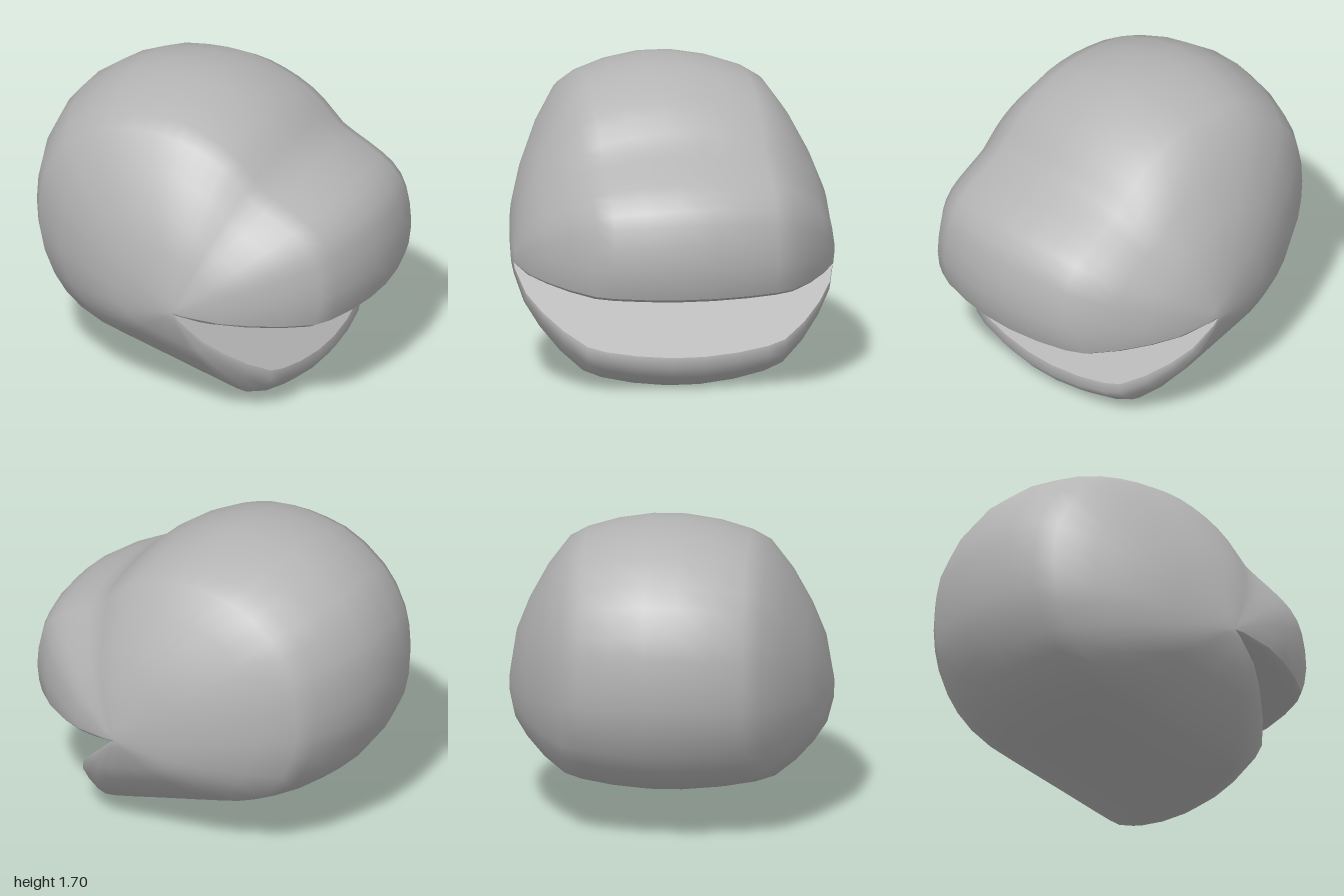
import * as THREE from 'three';

// Mouth corner: every cross-section is the middle outline shrunk towards this point
const HINGE = [0.14, 0.66];

// Half of the cross-sections: [z, scale]
const HALF = [
  [0.09, 1], [0.28, 0.97], [0.45, 0.918], [0.548, 0.862], [0.668, 0.7],
  [0.77, 0.51], [0.843, 0.325], [0.885, 0.08], [0.886, 0],
];
const SECTIONS = [...HALF.map(([z, s]) => [-z, s]).reverse(), ...HALF];

// Middle outline, counter-clockwise, in three runs that meet at the lips
const PALATE = [
  [0.15, 0.655], [0.26, 0.572], [0.4, 0.548], [0.58, 0.54], [0.8, 0.55], [0.92, 0.567], [0.96, 0.587],
];
const SKIN = [
  // muzzle
  [0.96, 0.587], [0.985, 0.66], [1, 0.77], [0.99, 0.89], [0.965, 1], [0.93, 1.08], [0.87, 1.15],
  [0.8, 1.2], [0.7, 1.255], [0.6, 1.305], [0.52, 1.35],
  // cranium
  [0.46, 1.41], [0.38, 1.49], [0.3, 1.55], [0.2, 1.605], [0.1, 1.645], [0, 1.675], [-0.1, 1.69],
  [-0.22, 1.695], [-0.35, 1.685], [-0.5, 1.66], [-0.65, 1.595], [-0.8, 1.485], [-0.89, 1.375],
  [-0.96, 1.23], [-0.99, 1.1], [-1, 0.95], [-0.99, 0.81], [-0.96, 0.68], [-0.89, 0.53],
  [-0.81, 0.425], [-0.7, 0.335], [-0.55, 0.262], [-0.4, 0.22],
  // lower jaw
  [-0.2, 0.167], [0, 0.115], [0.3, 0.035], [0.4, 0.01], [0.47, 0], [0.53, 0.018], [0.6, 0.07],
  [0.648, 0.13], [0.64, 0.19],
];
const MOUTH_FLOOR = [[0.64, 0.19], [0.47, 0.35], [0.3, 0.51], [0.15, 0.655]];

// Sweeps one run of the outline through all cross-sections
function shell(run) {
  const positions = [], indices = [], n = run.length;
  SECTIONS.forEach(([z, s], j) => {
    run.forEach(([x, y], i) => {
      positions.push(HINGE[0] + (x - HINGE[0]) * s, HINGE[1] + (y - HINGE[1]) * s, z);
      if (j === 0 || i === 0) return;
      const d = j * n + i, c = d - 1, b = d - n, a = b - 1;
      indices.push(a, b, d, a, d, c);
    });
  });
  const geometry = new THREE.BufferGeometry();
  geometry.setAttribute('position', new THREE.Float32BufferAttribute(positions, 3));
  geometry.setIndex(indices);
  geometry.computeVertexNormals();
  return geometry;
}

export function createModel() {
  const grey = new THREE.MeshStandardMaterial({ color: 0xb4b4b4 });
  grey.name = 'grey';
  const head = new THREE.Group();
  head.name = 'head';
  const parts = { headSkin: SKIN, palate: PALATE, mouthFloor: MOUTH_FLOOR };
  for (const [name, run] of Object.entries(parts)) {
    const mesh = new THREE.Mesh(shell(run), grey);
    mesh.name = name;
    head.add(mesh);
  }
  return head;
}
